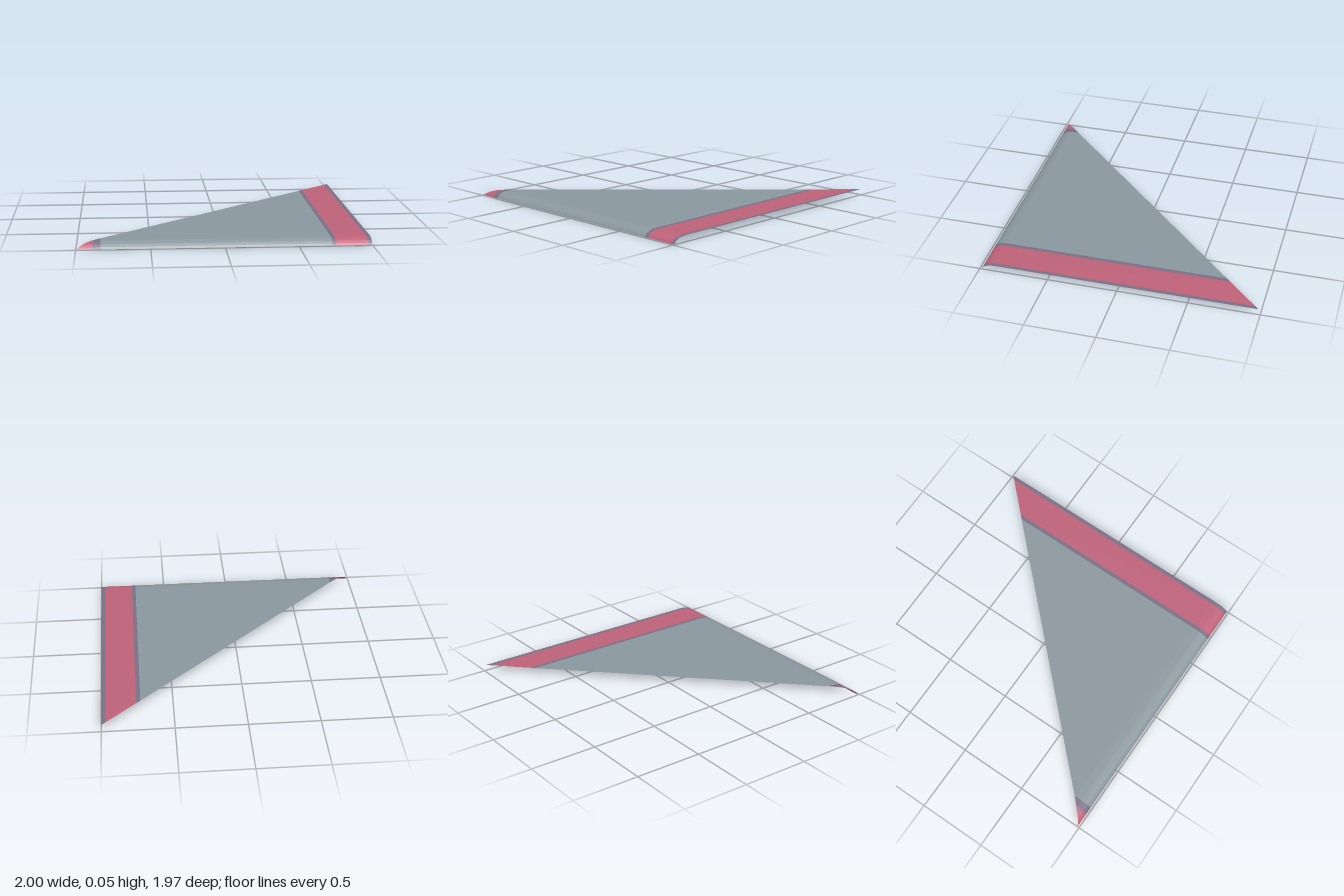
import * as THREE from 'three';

const material = (name, color) =>
  new THREE.MeshStandardMaterial({ name, color, side: THREE.DoubleSide, flatShading: true });

// Slanted edge of the sheet [x, y, z]: up over the rolled front lip, then flat to the back corner
const EDGE = [
  [-1, 0, 0.9865], [-0.982, 0.014, 0.978], [-0.959, 0.028, 0.962], [-0.931, 0.038, 0.938],
  [-0.9, 0.043, 0.91], [-0.8465, 0.045, 0.86], [1, 0.045, -0.9865],
];

// Point of the slanted edge at a given x
function edgeAt(x) {
  let i = 0;
  while (i < EDGE.length - 2 && EDGE[i + 1][0] < x) i++;
  const t = (x - EDGE[i][0]) / (EDGE[i + 1][0] - EDGE[i][0]);
  return EDGE[i].map((v, k) => v + (EDGE[i + 1][k] - v) * t);
}

// One band of the sheet between x0 and x1, from the front lip back to the slanted edge
function bandGeometry(x0, x1) {
  const inner = EDGE.filter(p => p[0] < x1 - 1e-6 && Math.abs(p[0] - x0) > 1e-6);
  const rows = [...inner, edgeAt(x0), edgeAt(x1)].sort((a, b) => a[0] - b[0]);
  const positions = [], indices = [];
  rows.forEach(([x, y, z], i) => {
    positions.push(Math.max(x0, x), y, z, x1, y, z);
    if (i === 0) return;
    const a = 2 * (i - 1);
    indices.push(a, a + 1, a + 2);
    if (i < rows.length - 1) indices.push(a + 1, a + 3, a + 2);
  });
  const geometry = new THREE.BufferGeometry();
  geometry.setAttribute('position', new THREE.Float32BufferAttribute(positions, 3));
  geometry.setIndex(indices);
  const flat = geometry.toNonIndexed();
  flat.computeVertexNormals();
  return flat;
}

export function createModel() {
  const grey = material('slate grey', 0x8b989f);
  const pink = material('rose', 0xbf627a);
  const purple = material('dusky purple', 0x7c6f86);

  // Bands across the sheet, left edge of the list to the right
  const bands = [
    ['tipStripe', -1, -0.89, pink],
    ['tipBorder', -0.89, -0.835, purple],
    ['mainPanel', -0.835, 0.728, grey],
    ['sideInnerBorder', 0.728, 0.757, purple],
    ['sideStripe', 0.757, 0.972, pink],
    ['sideOuterBorder', 0.972, 1, purple],
  ];

  const group = new THREE.Group();
  group.name = 'triangularPanel';
  for (const [name, x0, x1, mat] of bands) {
    const mesh = new THREE.Mesh(bandGeometry(x0, x1), mat);
    mesh.name = name;
    group.add(mesh);
  }
  return group;
}
